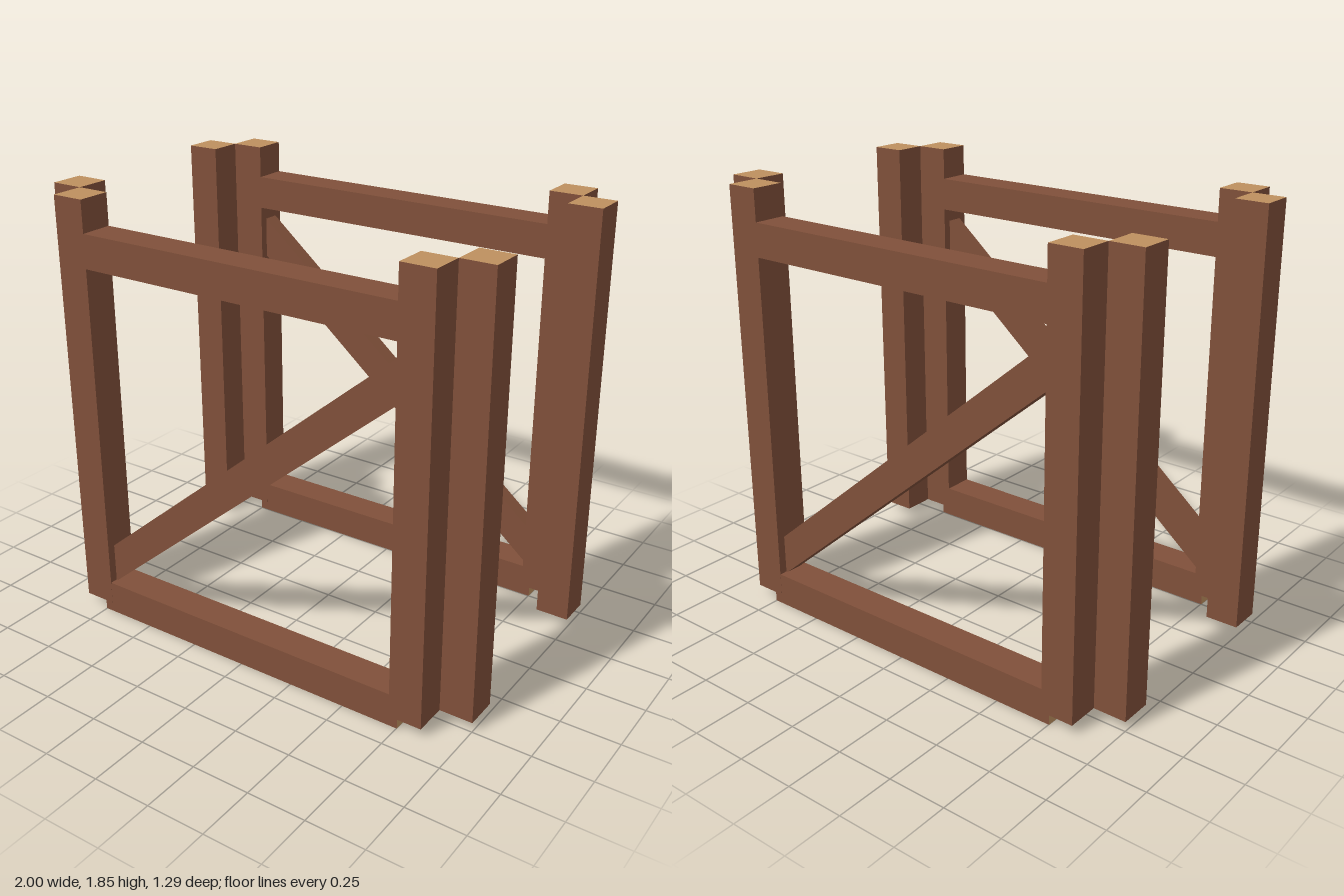
import * as THREE from 'three';

const S = 0.143; // timber thickness

export function createModel() {
  const bark = new THREE.MeshStandardMaterial({ color: 0x80503a });
  bark.name = 'brown wood';
  const grain = new THREE.MeshStandardMaterial({ color: 0xbe905f });
  grain.name = 'end grain';

  // Square timber with pale end grain on the two ends along its axis
  function timber(name, axis, size, pos) {
    const mats = ['x', 'x', 'y', 'y', 'z', 'z'].map((a) => (a === axis ? grain : bark));
    const mesh = new THREE.Mesh(new THREE.BoxGeometry(...size), mats);
    mesh.name = name;
    mesh.position.set(...pos);
    return mesh;
  }

  // One braced side frame, standing at +z
  function sideFrame(name) {
    const g = new THREE.Group();
    g.name = name;
    const bottom = 0.042, top = 1.852;
    const height = top - bottom, midY = (top + bottom) / 2;
    const zFrame = 0.5 + S / 2, zOuter = 0.5 - S / 2;

    // Inner and outer posts, touching at their corners
    for (const [side, s] of [['left', 1], ['right', -1]]) {
      g.add(timber(side + 'InnerPost', 'y', [S, height, S], [s * (1 - 1.5 * S), midY, zFrame]));
      g.add(timber(side + 'OuterPost', 'y', [S, height, S], [s * (1 - S / 2), midY, zOuter]));
    }

    // Rails; the lower one runs on a little under the posts
    const inner = 1 - 2 * S;
    g.add(timber('topRail', 'x', [inner * 2, S, S], [0, 1.645, zFrame]));
    g.add(timber('bottomRail', 'x', [1.504, S, S - 0.001], [0, S / 2, zFrame]));

    // Thin diagonal brace, cut flush against the posts
    const depth = S / 2, mid = 0.825, rise = 0.6, half = 0.089;
    const outline = new THREE.Shape([
      new THREE.Vector2(-inner, mid - rise - half),
      new THREE.Vector2(inner, mid + rise - half),
      new THREE.Vector2(inner, mid + rise + half),
      new THREE.Vector2(-inner, mid - rise + half),
    ]);
    const brace = new THREE.Mesh(
      new THREE.ExtrudeGeometry(outline, { depth, bevelEnabled: false }), bark);
    brace.name = 'diagonalBrace';
    brace.position.z = zFrame - depth / 2;
    g.add(brace);
    return g;
  }

  const model = new THREE.Group();
  model.name = 'timberFrame';
  const front = sideFrame('frontFrame');
  const back = sideFrame('backFrame');
  back.rotation.y = Math.PI;
  model.add(front, back);
  return model;
}
